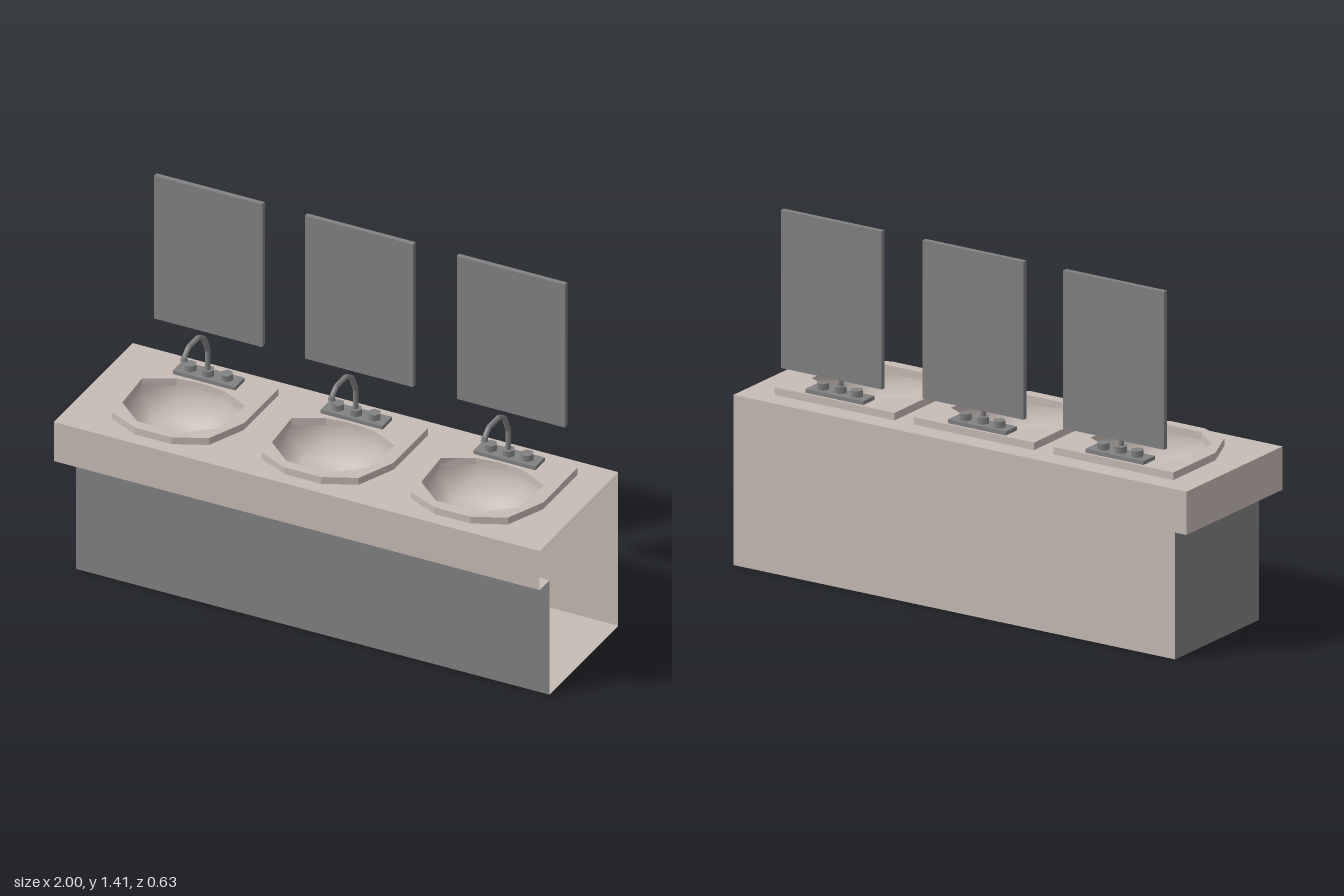
import * as THREE from 'three';

export function createModel() {
  const stone = new THREE.MeshStandardMaterial({ color: 0xc8bcb6, side: THREE.DoubleSide });
  stone.name = 'beige stone';
  const grey = new THREE.MeshStandardMaterial({ color: 0x828282, side: THREE.DoubleSide });
  grey.name = 'grey metal';

  const model = new THREE.Group();
  model.name = 'washstand';

  const add = (parent, name, geometry, material, x = 0, y = 0, z = 0) => {
    const mesh = new THREE.Mesh(geometry, material);
    mesh.name = name;
    mesh.position.set(x, y, z);
    parent.add(mesh);
    return mesh;
  };
  // mirrors a half outline (x, z) listed from back to front into a closed loop
  const mirrorLoop = half => [...half, ...half.slice().reverse().map(([x, z]) => [-x, z])];
  const toPoints = (loop, dx = 0) => loop.map(([x, z]) => new THREE.Vector2(x + dx, -z));

  const rimLoop = mirrorLoop([[0.265, -0.23], [0.265, 0.045], [0.2, 0.2], [0.075, 0.257]]);
  const bowlLoop = mirrorLoop([[0.025, -0.132], [0.1, -0.122], [0.212, -0.065], [0.198, 0.12], [0.09, 0.213]]);
  const sinkX = [-0.62, -0.004, 0.611];
  const faucetX = [-0.618, -0.01, 0.619];
  const mirrorX = [-0.678, -0.057, 0.568];

  // counter: thin shell, open at the +x end
  const topShape = new THREE.Shape(toPoints([[-1, -0.315], [1, -0.315], [1, 0.315], [-1, 0.315]]));
  for (const x of sinkX) topShape.holes.push(new THREE.Path(toPoints(bowlLoop, x)));
  add(model, 'counterTop', new THREE.ShapeGeometry(topShape).rotateX(-Math.PI / 2), stone, 0, 0.657, 0);
  const flat = (w, d) => new THREE.PlaneGeometry(w, d).rotateX(-Math.PI / 2);
  const endWall = (w, h) => new THREE.PlaneGeometry(w, h).rotateY(-Math.PI / 2);
  add(model, 'counterFront', new THREE.PlaneGeometry(2, 0.167), stone, 0, 0.5735, 0.315);
  add(model, 'counterEnd', endWall(0.63, 0.167), stone, -1, 0.5735, 0);
  add(model, 'overhangFront', flat(2, 0.08), stone, 0, 0.49, 0.275);
  add(model, 'overhangEnd', flat(0.05, 0.55), stone, -0.975, 0.49, -0.04);

  // cabinet below, with a back wall that reaches up to the counter top
  const backShape = new THREE.Shape([[-0.95, 0], [1, 0], [1, 0.657], [-1, 0.657], [-1, 0.49], [-0.95, 0.49]]
    .map(([x, y]) => new THREE.Vector2(-x, y)));
  add(model, 'backWall', new THREE.ShapeGeometry(backShape).rotateY(Math.PI), stone, 0, 0, -0.315);
  add(model, 'cabinetFloor', flat(1.95, 0.55), stone, 0.025, 0, -0.04);
  add(model, 'cabinetFront', new THREE.PlaneGeometry(1.95, 0.49), grey, 0.025, 0.245, 0.235);
  add(model, 'cabinetEnd', endWall(0.55, 0.49), grey, -0.95, 0.245, -0.04);

  // sinks: raised rim and a faceted bowl with smooth normals
  const rimShape = new THREE.Shape(toPoints(rimLoop));
  rimShape.holes.push(new THREE.Path(toPoints(bowlLoop)));
  const rimGeometry = new THREE.ExtrudeGeometry(rimShape, { depth: 0.03, bevelEnabled: false }).rotateX(-Math.PI / 2);
  const bowlGeometry = makeBowl(bowlLoop, [[1, 0.685], [1, 0.615], [0.7, 0.541]], 0.045);
  for (const x of sinkX) {
    const sink = new THREE.Group();
    sink.name = 'sink';
    sink.position.x = x;
    model.add(sink);
    add(sink, 'sinkRim', rimGeometry, stone, 0, 0.656, 0);
    add(sink, 'bowl', bowlGeometry, stone);
  }

  // faucets: plate, two handles, collar and bent spout
  const bend = new THREE.CurvePath();
  const path = [[0.72, -0.176], [0.808, -0.176], [0.872, -0.146], [0.901, -0.1], [0.901, -0.02], [0.877, 0.012]]
    .map(([y, z]) => new THREE.Vector3(0, y, z));
  for (let i = 1; i < path.length; i++) bend.add(new THREE.LineCurve3(path[i - 1], path[i]));
  const spoutGeometry = new THREE.TubeGeometry(bend, 40, 0.0105, 8);
  const knobGeometry = new THREE.CylinderGeometry(0.025, 0.025, 0.026, 6).rotateY(Math.PI / 6);
  for (const x of faucetX) {
    const faucet = new THREE.Group();
    faucet.name = 'faucet';
    faucet.position.x = x;
    model.add(faucet);
    add(faucet, 'basePlate', new THREE.BoxGeometry(0.256, 0.016, 0.075), grey, 0, 0.693, -0.182);
    for (const side of [-1, 1]) add(faucet, 'handle', knobGeometry, grey, side * 0.075, 0.713, -0.182);
    add(faucet, 'collar', knobGeometry, grey, 0, 0.713, -0.178);
    add(faucet, 'spout', spoutGeometry, grey);
    add(faucet, 'spoutTip', new THREE.CylinderGeometry(0.011, 0.015, 0.016, 8), grey, 0, 0.872, 0.015);
    add(faucet, 'drain', new THREE.BoxGeometry(0.05, 0.006, 0.048), grey, 0, 0.545, 0.043);
  }

  // wall mirrors
  for (const x of mirrorX) {
    add(model, 'wallMirror', new THREE.BoxGeometry(0.445, 0.61, 0.02), grey, x, 1.105, -0.305);
  }
  return model;
}

// lofts a loop through [scale, height] rings about z = cz and closes the bottom
function makeBowl(loop, rings, cz) {
  const n = loop.length;
  const positions = [];
  const index = [];
  for (const [s, y] of rings) {
    for (const [x, z] of loop) positions.push(x * s, y, cz + (z - cz) * s);
  }
  positions.push(0, rings[rings.length - 1][1], cz);
  for (let r = 0; r < rings.length; r++) {
    for (let i = 0; i < n; i++) {
      const a = r * n + i;
      const b = r * n + (i + 1) % n;
      if (r < rings.length - 1) index.push(a, b, a + n, b, b + n, a + n);
      else index.push(a, b, rings.length * n);
    }
  }
  const geometry = new THREE.BufferGeometry();
  geometry.setAttribute('position', new THREE.Float32BufferAttribute(positions, 3));
  geometry.setIndex(index);
  geometry.computeVertexNormals();
  // normals must face inward and up
  if (geometry.attributes.normal.getY(rings.length * n) < 0) {
    geometry.setIndex(index.reverse());
    geometry.computeVertexNormals();
  }
  return geometry;
}
